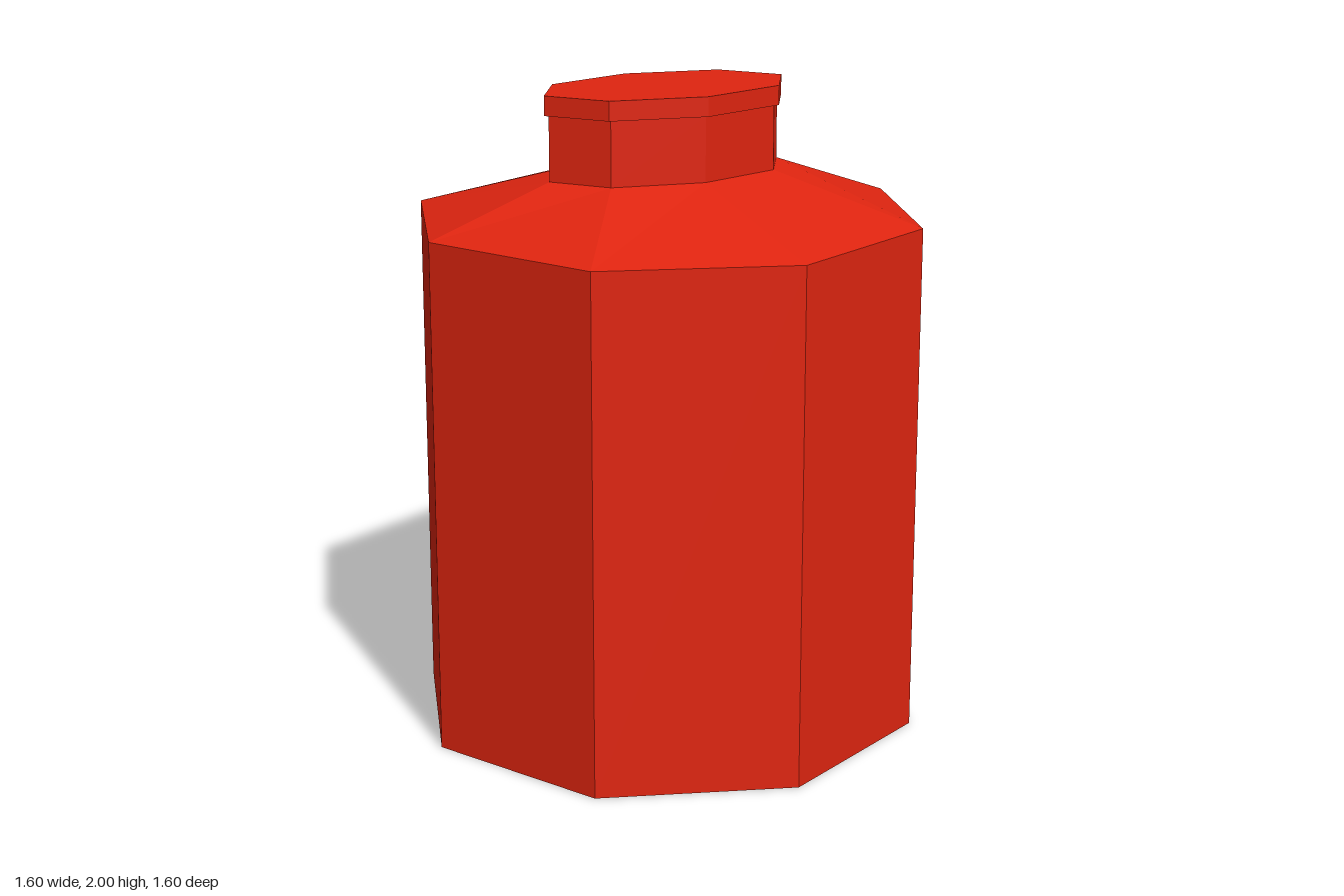
import * as THREE from 'three';

const SIDES = 8;

// Octagonal section between two heights; each end has its own x and z radius.
function section(name, material, y0, [rx0, rz0], y1, [rx1, rz1], openEnded = true) {
  const geometry = new THREE.CylinderGeometry(1, 1, 1, SIDES, 1, openEnded);
  const p = geometry.attributes.position;
  for (let i = 0; i < p.count; i++) {
    const top = p.getY(i) > 0;
    p.setXYZ(i,
      p.getX(i) * (top ? rx1 : rx0),
      top ? y1 : y0,
      p.getZ(i) * (top ? rz1 : rz0));
  }
  geometry.computeVertexNormals();
  const mesh = new THREE.Mesh(geometry, material);
  mesh.name = name;
  return mesh;
}

export function createModel() {
  const red = new THREE.MeshStandardMaterial({ color: 0xe02510 });
  red.name = 'red';
  red.flatShading = true;

  const wide = [0.8, 0.8];
  const narrow = [0.4, 0.24];
  const rim = [0.415, 0.255];

  const model = new THREE.Group();
  model.name = 'canister';

  // Floor of the canister, facing down
  const base = new THREE.Mesh(new THREE.CircleGeometry(0.8, SIDES).rotateX(Math.PI / 2), red);
  base.name = 'base';

  model.add(
    base,
    section('body', red, 0, wide, 1.6, wide),
    // Shoulder blends the regular octagon into the flattened neck
    section('shoulder', red, 1.6, wide, 1.74, narrow),
    section('neck', red, 1.74, narrow, 1.94, narrow),
    section('cap', red, 1.94, rim, 2, rim, false),
  );
  return model;
}
